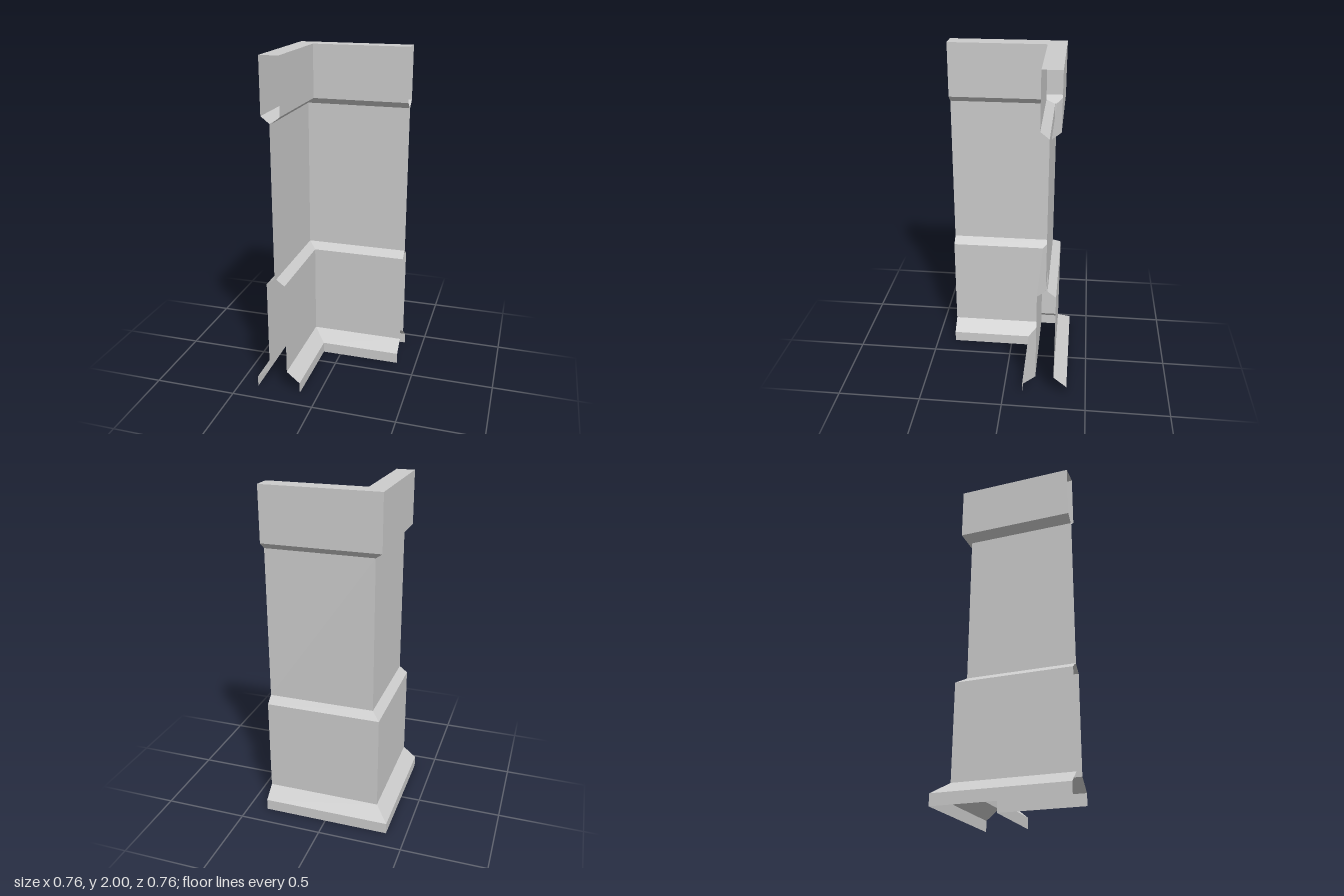
import * as THREE from 'three';

const CENTRE = 0.2485; // distance of the wall centre line from the axes
const END = 0.382;     // where both wings stop, left open

const material = new THREE.MeshStandardMaterial({
  color: 0xcccccc, flatShading: true, side: THREE.DoubleSide,
});

// L-shaped paths at height y for a wall of the given half thickness
function outerPath(half, y) {
  const a = -(CENTRE + half);
  return [[END, y, a], [a, y, a], [a, y, END]];
}
function innerPath(half, y) {
  const b = -(CENTRE - half);
  return [[b, y, END], [b, y, b], [END, y, b]];
}

// Flat-shaded mesh from a list of four-cornered faces
function quadMesh(name, quads) {
  const positions = quads.flatMap(([a, b, c, d]) => [a, b, c, a, c, d].flat());
  const geometry = new THREE.BufferGeometry();
  geometry.setAttribute('position', new THREE.Float32BufferAttribute(positions, 3));
  geometry.computeVertexNormals();
  const mesh = new THREE.Mesh(geometry, material);
  mesh.name = name;
  return mesh;
}

// One storey of the wall: outer and inner skins, mitred at the corner
function wallBand(name, y0, half0, y1, half1) {
  const quads = [];
  for (const path of [outerPath, innerPath]) {
    const low = path(half0, y0), high = path(half1, y1);
    for (let i = 0; i < 2; i++) quads.push([low[i], low[i + 1], high[i + 1], high[i]]);
  }
  return quadMesh(name, quads);
}

export function createModel() {
  const group = new THREE.Group();
  group.name = 'cornerWall';

  const FOOT = 0.1345, THICK = 0.0545, THIN = 0.005;

  // name, bottom height, half thickness there, top height, half thickness there
  const bands = [
    ['plinth', 0, FOOT, 0.067, FOOT],
    ['plinthBevel', 0.067, FOOT, 0.133, THICK],
    ['lowerWall', 0.133, THICK, 0.7, THICK],
    ['lowerBevel', 0.7, THICK, 0.738, THIN],
    ['middlePanel', 0.738, THIN, 1.643, THIN],
    ['upperBevel', 1.643, THIN, 1.682, THICK],
    ['upperWall', 1.682, THICK, 2, THICK],
  ];
  for (const band of bands) group.add(wallBand(...band));

  // Flat top over both wings
  const o = outerPath(THICK, 2), i = innerPath(THICK, 2);
  group.add(quadMesh('topCap', [[o[0], o[1], i[1], i[2]], [o[1], o[2], i[0], i[1]]]));

  return group;
}
